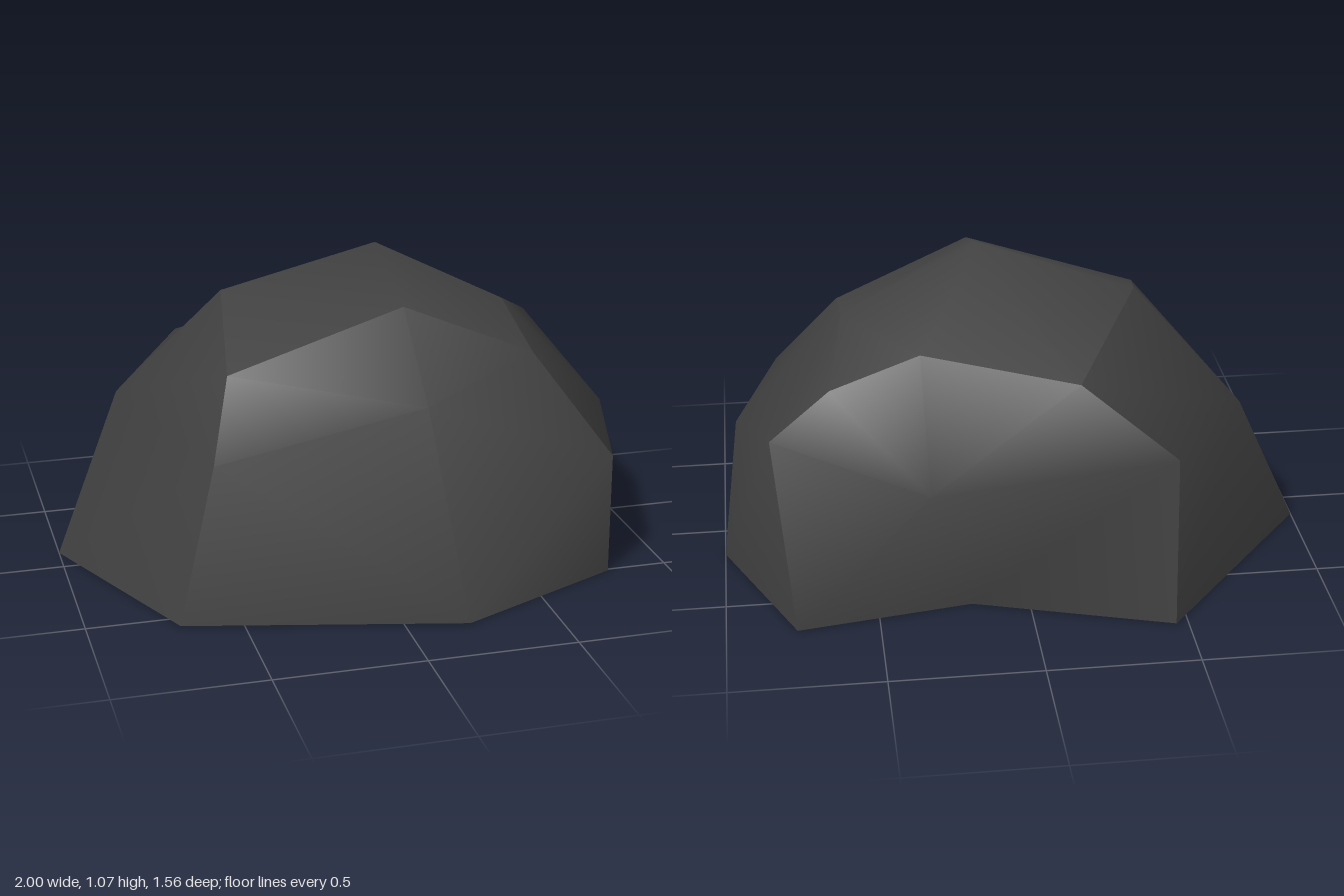
import * as THREE from 'three';
import { mergeGeometries } from 'three/addons/utils/BufferGeometryUtils.js';

// Each ring runs from the front corner on the -x side, along the front, and round:
// corners have even numbers, the middles of the sides odd ones.
const ground = [
  [-0.70, 0, 0.56], [0.21, 0, 0.78], [0.79, 0, 0.51], [1.00, 0, -0.16],
  [0.77, 0, -0.675], [0.19, 0, -0.58], [-0.46, 0, -0.78], [-1.00, 0, -0.12],
];
const waist = [
  [-0.57, 0.52, 0.51], [0.12, 0.68, 0.58], [0.79, 0.42, 0.51], [0.94, 0.43, 0.00],
  [0.83, 0.62, -0.53], [0.33, 0.48, -0.70], [-0.46, 0.58, -0.735], [-0.76, 0.53, -0.25],
];
const shoulder = [
  [-0.48, 0.75, 0.31], [0.11, 0.94, 0.32], [0.57, 0.74, 0.30], [0.57, 0.83, -0.03],
  [0.63, 0.74, -0.43], [0.335, 0.845, -0.42], [-0.18, 0.74, -0.485], [-0.41, 0.91, -0.115],
];
const peak = [0.11, 1.065, -0.03];
const groundCentre = [0, 0, 0];

// Smooth panel from a 3 x 3 grid of points, seen from outside: rows go up, columns go right
function panel(rows) {
  const points = rows.flat().map((p) => new THREE.Vector3(...p));
  const index = [];
  for (let r = 0; r < 2; r++) {
    for (let c = 0; c < 2; c++) {
      const a = r * 3 + c, b = a + 1, d = a + 3, e = a + 4;
      // Split each quad along its shorter diagonal
      if (points[a].distanceTo(points[e]) < points[b].distanceTo(points[d])) index.push(a, b, e, a, e, d);
      else index.push(a, b, d, b, e, d);
    }
  }
  const geometry = new THREE.BufferGeometry().setFromPoints(points);
  geometry.setIndex(index);
  geometry.computeVertexNormals();
  return geometry;
}

function rockGeometry() {
  const s = shoulder, g = ground;
  const panels = [
    // Crown and flat underside
    panel([[s[0], s[1], s[2]], [s[7], peak, s[3]], [s[6], s[5], s[4]]]),
    panel([[g[6], g[5], g[4]], [g[7], groundCentre, g[3]], [g[0], g[1], g[2]]]),
  ];
  // Four sides, each with its own smooth shading
  for (let i = 0; i < 8; i += 2) {
    const columns = [i, i + 1, (i + 2) % 8];
    panels.push(panel([ground, waist, shoulder].map((ring) => columns.map((k) => ring[k]))));
  }
  return mergeGeometries(panels);
}

export function createModel() {
  const stone = new THREE.MeshStandardMaterial({ color: 0x414141 });
  stone.name = 'darkStone';

  const rock = new THREE.Mesh(rockGeometry(), stone);
  rock.name = 'rock';

  const model = new THREE.Group();
  model.name = 'boulder';
  model.add(rock);
  return model;
}
